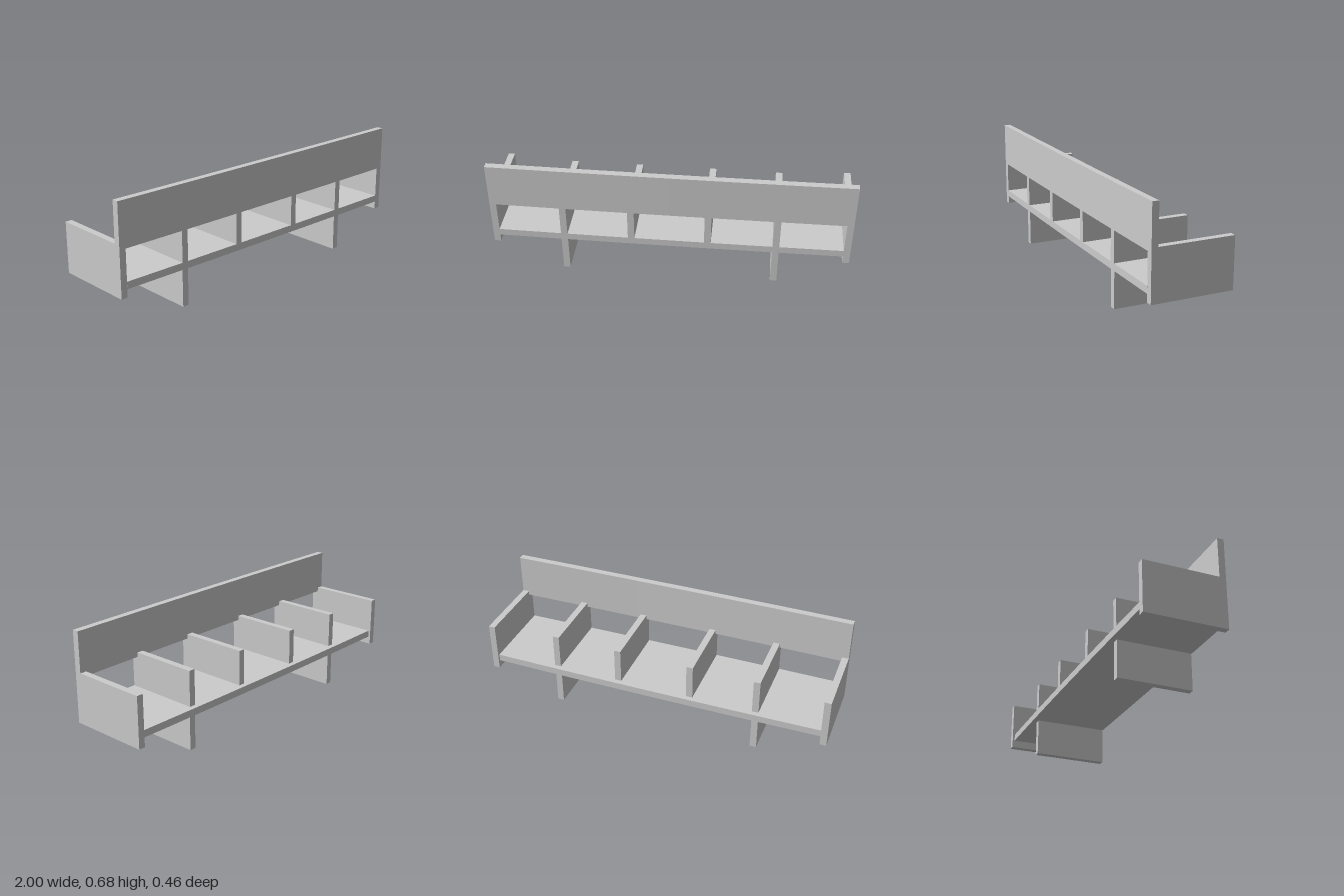
import * as THREE from 'three';

const material = new THREE.MeshStandardMaterial({ color: 0xcccccc, flatShading: true });
const THICK = 0.037;

// Gentle bow of the front and back edges along the length
const frontZ = (x) => 0.227 + 0.005 * (1 - x * x);
const backZ = (x) => -0.219 - 0.008 * (1 - x * x);

// Horizontal-plan slab between two bowed edges, raised from y0 to y1
function bowedSlab(name, halfLength, zFront, zBack, y0, y1) {
  const n = 16, points = [];
  const xAt = (i) => -halfLength + (2 * halfLength * i) / n;
  for (let i = 0; i <= n; i++) points.push(new THREE.Vector2(xAt(i), -zFront(xAt(i))));
  for (let i = n; i >= 0; i--) points.push(new THREE.Vector2(xAt(i), -zBack(xAt(i))));
  const geometry = new THREE.ExtrudeGeometry(new THREE.Shape(points), { depth: y1 - y0, bevelEnabled: false });
  geometry.rotateX(-Math.PI / 2).translate(0, y0, 0);
  const mesh = new THREE.Mesh(geometry, material);
  mesh.name = name;
  return mesh;
}

// Upright panel, given as a [z, y] side profile and centred on x
function upright(name, x, profile) {
  const shape = new THREE.Shape(profile.map(([z, y]) => new THREE.Vector2(-z, y)));
  const geometry = new THREE.ExtrudeGeometry(shape, { depth: THICK, bevelEnabled: false });
  geometry.rotateY(Math.PI / 2).translate(x - THICK / 2, 0, 0);
  const mesh = new THREE.Mesh(geometry, material);
  mesh.name = name;
  return mesh;
}

// Profile notched at the top front corner to receive the front board
const notched = (front, notch, back, bottom) => [
  [front, bottom], [back, bottom], [back, 0.45], [notch, 0.45], [notch, 0.425], [front, 0.425],
];

export function createModel() {
  const group = new THREE.Group();

  // Long front board and the shelf
  group.add(bowedSlab('frontBoard', 1, frontZ, (x) => frontZ(x) - THICK, 0.425, 0.675));
  group.add(bowedSlab('shelf', 1 - THICK, frontZ, backZ, 0.21, 0.25));

  for (const side of [-1, 1]) {
    const label = side > 0 ? 'left' : 'right';

    // End panels
    group.add(upright(label + 'EndPanel', side * (1 - THICK / 2), notched(0.227, 0.19, -0.232, 0.165)));

    // Dividers standing on the shelf
    for (const [name, x] of [['InnerDivider', 0.213], ['OuterDivider', 0.592]]) {
      const f = frontZ(x);
      group.add(upright(label + name, side * x, notched(f, f - THICK, backZ(x) + 0.029, 0.25)));
    }

    // Legs under the outer dividers
    group.add(upright(label + 'Leg', side * 0.592, [[0.228, 0], [-0.192, 0], [-0.192, 0.21], [0.228, 0.21]]));
  }
  return group;
}
